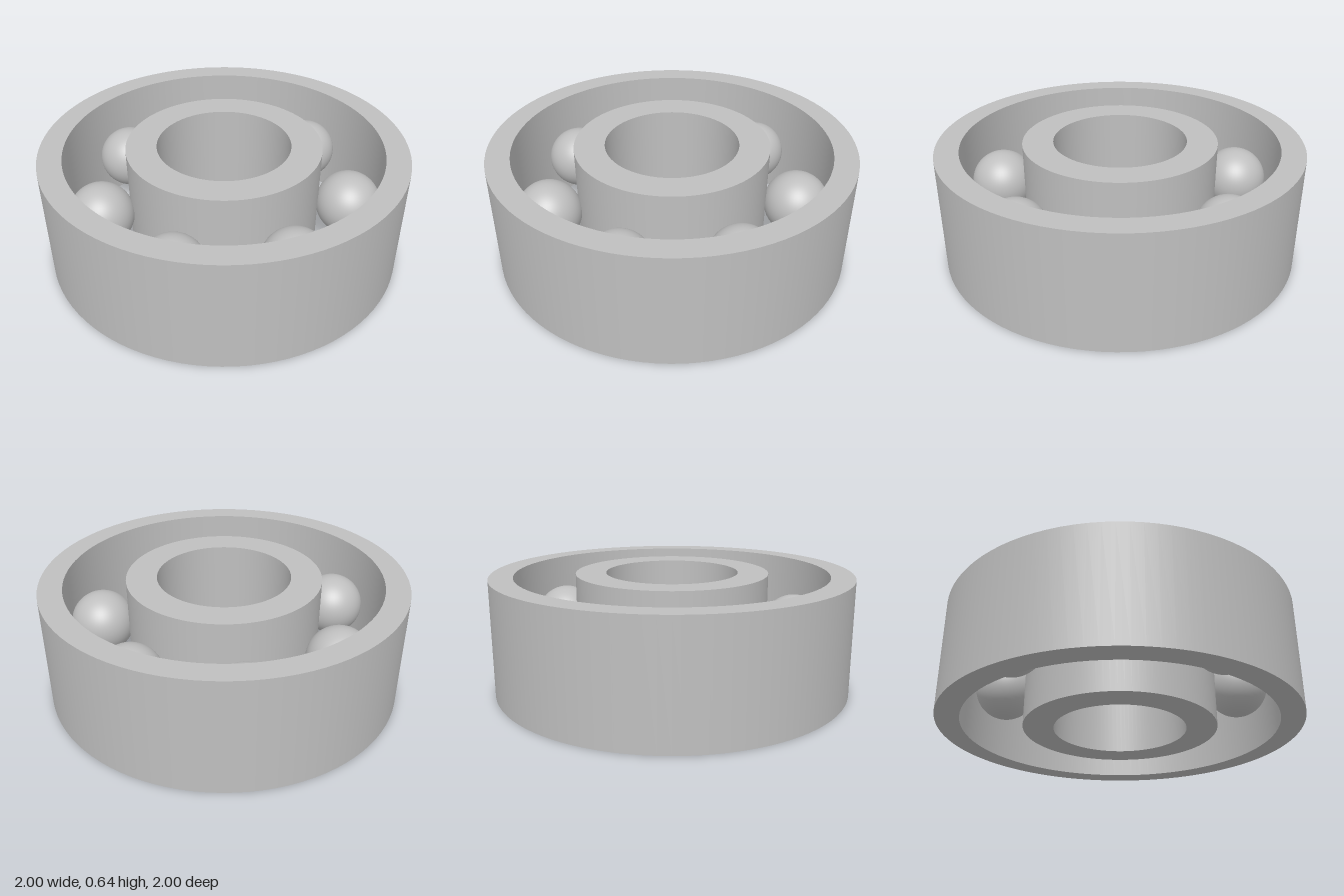
import * as THREE from 'three';

const HEIGHT = 0.64;

// Flat-ended ring, smooth around, with sharp rims
function ring(name, inner, outer, material) {
  const group = new THREE.Group();
  group.name = name;
  const add = (part, geometry) => {
    const mesh = new THREE.Mesh(geometry, material);
    mesh.name = part;
    group.add(mesh);
  };
  const segments = 96;
  // Profile direction sets which way each wall faces
  const wall = (r, y0, y1) =>
    new THREE.LatheGeometry([new THREE.Vector2(r, y0), new THREE.Vector2(r, y1)], segments);
  add('outerWall', wall(outer, 0, HEIGHT));
  add('innerWall', wall(inner, HEIGHT, 0));
  const face = () => new THREE.RingGeometry(inner, outer, segments);
  add('topFace', face().rotateX(-Math.PI / 2).translate(0, HEIGHT, 0));
  add('bottomFace', face().rotateX(Math.PI / 2));
  return group;
}

export function createModel() {
  const model = new THREE.Group();
  model.name = 'ballBearing';
  const steel = new THREE.MeshStandardMaterial({ color: 0xbfbfbf });
  steel.name = 'steel grey';

  model.add(ring('outerRace', 0.87, 1, steel));
  model.add(ring('innerRace', 0.367, 0.535, steel));

  // Seven balls, slightly seated into both races
  const ballGeometry = new THREE.SphereGeometry(0.178, 48, 32);
  const count = 7;
  for (let i = 0; i < count; i++) {
    const angle = (i / count) * Math.PI * 2;
    const ball = new THREE.Mesh(ballGeometry, steel);
    ball.name = `ball${i + 1}`;
    ball.position.set(0.7 * Math.cos(angle), HEIGHT / 2, 0.7 * Math.sin(angle));
    model.add(ball);
  }
  return model;
}
